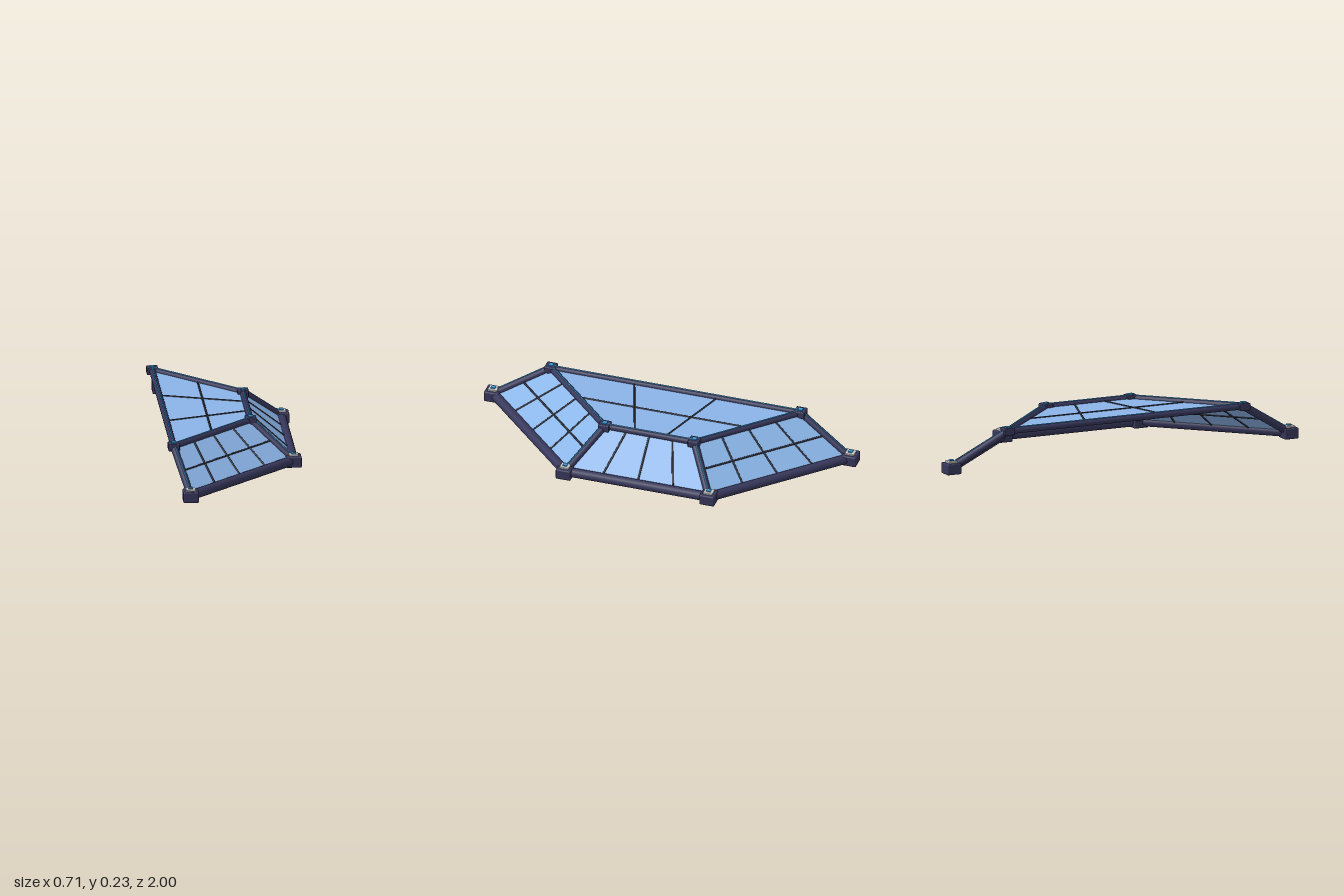
import * as THREE from 'three';
import { RoundedBoxGeometry } from 'three/addons/geometries/RoundedBoxGeometry.js';

const mat = (color, side = THREE.FrontSide) => new THREE.MeshStandardMaterial({ color, side });
const V = (x, y, z) => new THREE.Vector3(x, y, z);

export function createModel() {
  const root = new THREE.Group();
  root.name = 'bayCanopy';
  const frame = mat(0x36365a);
  const bar = mat(0x2c2d3a);
  const glow = mat(0x3aa0e0);
  const grey = mat(0xcccccc);
  const glass = mat(0x8ab4e8, THREE.DoubleSide);

  const add = (name, geometry, material) => {
    const mesh = new THREE.Mesh(geometry, material);
    mesh.name = name;
    root.add(mesh);
    return mesh;
  };

  // Round rod between two points
  const rod = (name, a, b, r, material, sides = 16) => {
    const d = b.clone().sub(a);
    const mesh = add(name, new THREE.CylinderGeometry(r, r, d.length(), sides), material);
    mesh.position.copy(a).add(b).multiplyScalar(0.5);
    mesh.quaternion.setFromUnitVectors(V(0, 1, 0), d.normalize());
  };

  // Beam with a thin light strip along its upper side
  const litBeam = (name, a, b, r) => {
    rod(name, a, b, r, frame);
    const d = b.clone().sub(a).normalize();
    const up = V(0, 1, 0).addScaledVector(d, -d.y).normalize().multiplyScalar(r);
    rod(name + 'LightStrip', a.clone().add(up), b.clone().add(up), 0.0035, glow, 8);
  };

  // Glass pane a-b (lower edge) to d-c (upper edge), with glazing bars
  const pane = (name, a, b, c, d, crossBars, midBar) => {
    const g = new THREE.BufferGeometry().setFromPoints([a, b, c, d]);
    g.setIndex([0, 1, 2, 0, 2, 3]);
    g.computeVertexNormals();
    add(name, g, glass);
    for (let i = 1; i <= crossBars; i++) {
      const t = i / (crossBars + 1);
      rod(name + 'CrossBar', a.clone().lerp(b, t), d.clone().lerp(c, t), 0.005, bar, 8);
    }
    if (midBar) rod(name + 'MidBar', a.clone().lerp(d, 0.5), b.clone().lerp(c, 0.5), 0.005, bar, 8);
  };

  // Frame corners, one set for each end
  const corners = (s) => ({
    outerLow: V(-0.262, 0.03, 0.96 * s),
    innerLow: V(0.312, 0.03, 0.386 * s),
    outerTop: V(-0.325, 0.206, 0.67 * s),
    innerTop: V(0.104, 0.206, 0.241 * s),
  });
  const f = corners(1), k = corners(-1);

  // Joint blocks with stacked caps
  const block = (name, p, y, w, h, material, round) => {
    const g = round ? new RoundedBoxGeometry(w, h, w, 2, round) : new THREE.BoxGeometry(w, h, w);
    add(name, g, material).position.set(p.x, y, p.z);
  };

  for (const c of [f, k]) {
    for (const p of [c.outerLow, c.innerLow]) {
      block('lowerJoint', p, 0.0285, 0.08, 0.057, frame, 0.007);
      block('lowerJointPlate', p, 0.0615, 0.05, 0.011, grey, 0.004);
      block('lowerJointLight', p, 0.0695, 0.022, 0.007, glow);
    }
    for (const p of [c.outerTop, c.innerTop]) {
      block('upperJoint', p, 0.206, 0.058, 0.038, frame, 0.005);
      block('upperJointLight', p, 0.2275, 0.024, 0.006, glow);
    }
    // End beams
    rod('baseBeam', c.outerLow, c.innerLow, 0.025, frame);
    litBeam('topBeam', c.outerTop, c.innerTop, 0.0165);
    litBeam('outerSlopeBeam', c.outerLow, c.outerTop, 0.019);
    litBeam('innerSlopeBeam', c.innerLow, c.innerTop, 0.019);
  }

  // Long beams joining both ends
  rod('middleBaseBeam', k.innerLow, f.innerLow, 0.025, frame);
  litBeam('middleTopBeam', k.innerTop, f.innerTop, 0.0165);
  litBeam('rearTopBeam', k.outerTop, f.outerTop, 0.0165);

  // Glazing: two slanted ends, sloping middle and flat roof
  pane('frontPane', f.outerLow, f.innerLow, f.innerTop, f.outerTop, 3, true);
  pane('backPane', k.innerLow, k.outerLow, k.outerTop, k.innerTop, 3, true);
  pane('middlePane', f.innerLow, k.innerLow, k.innerTop, f.innerTop, 3, false);
  pane('roofPane', f.innerTop, k.innerTop, k.outerTop, f.outerTop, 2, true);

  return root;
}
